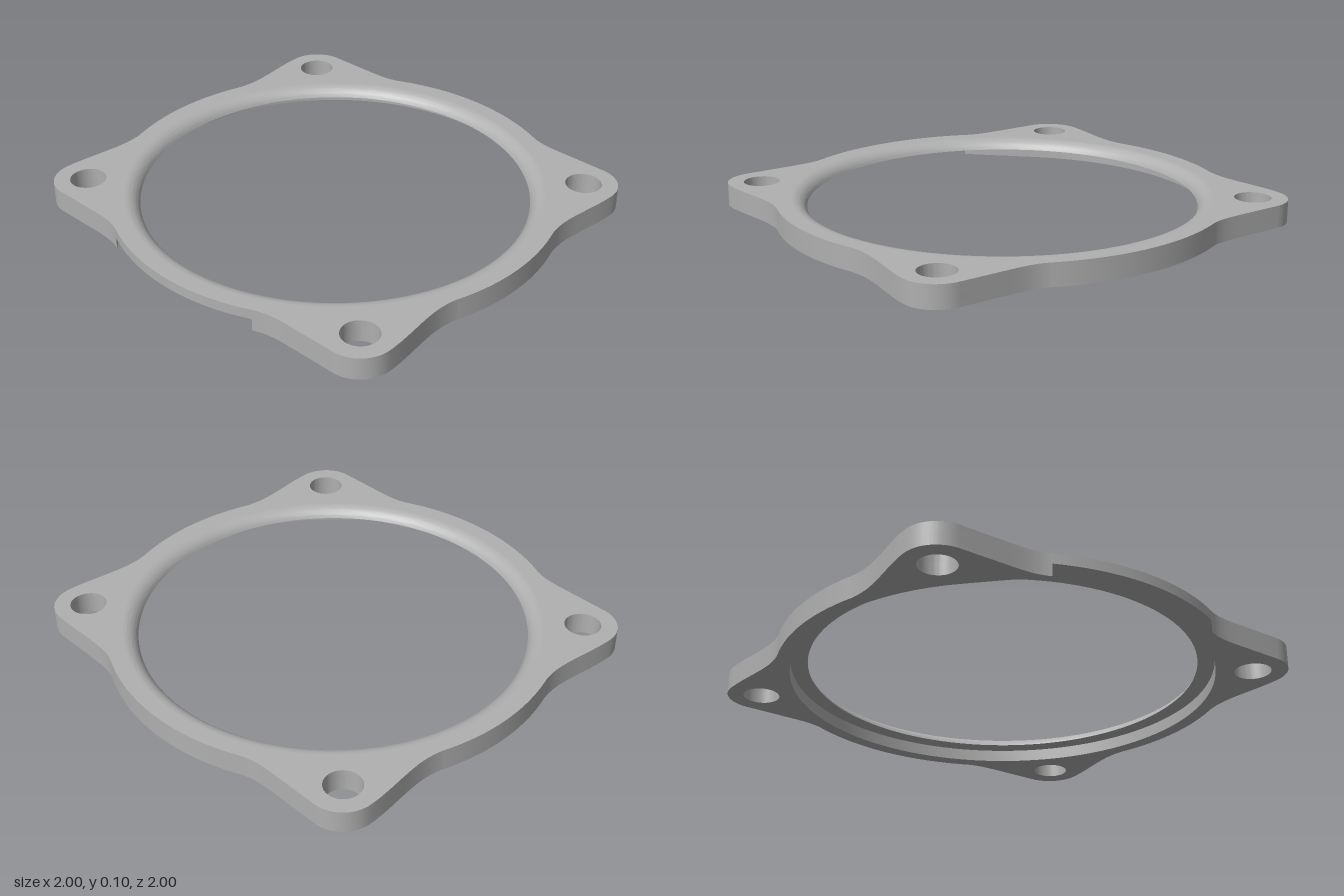
import * as THREE from 'three';
import { toCreasedNormals } from 'three/addons/utils/BufferGeometryUtils.js';

const TOP = 0.1, STEP = 0.055, RECESS = 0.935, BORE = 0.86;
const LIP = 0.07; // rounding radius of the bore's upper edge

// One quarter of the rim, from the notch corner round the lug to the side.
function lugQuarter() {
  const p = new THREE.Path();
  p.moveTo(0.41, 0.912);
  p.bezierCurveTo(0.46, 0.89, 0.5, 0.885, 0.6, 0.885);
  p.lineTo(0.815, 0.885);
  p.absarc(0.815, 0.735, 0.15, Math.PI / 2, 0, true);
  p.bezierCurveTo(0.965, 0.63, 0.937, 0.52, 0.936, 0.42);
  p.quadraticCurveTo(0.936, 0.365, 0.949, 0.315);
  p.absarc(0, 0, 1, Math.atan2(0.315, 0.949), 0, true);
  return p.getPoints(20);
}

function arc(r, from, to, n) {
  return Array.from({ length: n + 1 }, (_, i) => {
    const a = from + (to - from) * i / n;
    return new THREE.Vector2(r * Math.cos(a), r * Math.sin(a));
  });
}

const mirror = (pts, sx, sy) => pts.map(p => new THREE.Vector2(p.x * sx, p.y * sy)).reverse();

function clean(pts) {
  return pts.filter((p, i) => p.distanceTo(pts[(i + 1) % pts.length]) > 1e-5);
}

// Extrude a plan (x, z) downward from the given height, with the four bolt holes.
function plate(points, top, depth, bore) {
  const shape = new THREE.Shape(clean(points));
  for (const sx of [-1, 1]) for (const sz of [-1, 1])
    shape.holes.push(new THREE.Path().absarc(0.815 * sx, 0.733 * sz, 0.08, 0, Math.PI * 2));
  if (bore) shape.holes.push(new THREE.Path(arc(bore, 0, Math.PI * 2, 128).slice(0, -1)));
  const g = new THREE.ExtrudeGeometry(shape, { depth, bevelEnabled: false, curveSegments: 32 });
  g.rotateX(Math.PI / 2).translate(0, top, 0);
  return toCreasedNormals(g, 0.5);
}

export function createModel() {
  const group = new THREE.Group();
  const grey = new THREE.MeshStandardMaterial({ color: 0xb0b0b0 });
  grey.name = 'grey';
  const add = (name, geometry) => {
    const m = new THREE.Mesh(geometry, grey);
    m.name = name;
    group.add(m);
  };

  // Rim from the front right notch corner round the back to the front left one
  const quarter = lugQuarter();
  const right = [...quarter, ...mirror(quarter, 1, -1)];
  const c = Math.atan2(0.912, 0.41);
  const back = arc(1, -c, c - Math.PI, 24);
  const rim = [...right, ...back, ...mirror(right, -1, 1)];

  // Upper layer: full outline
  const start = Math.asin((STEP - (TOP - LIP)) / LIP);
  const lipCentre = BORE + LIP * Math.cos(start);
  add('upperPlate', plate([...rim, ...arc(1, Math.PI - c, c, 24)], TOP, TOP - STEP, lipCentre));

  // Lower layer: teardrop recess that opens through the front edge
  const recess = arc(RECESS, Math.PI * 0.75, Math.PI * 2.25, 96);
  add('lowerPlate', plate([...rim, ...recess], STEP, STEP, 0));

  // Rounded lip of the bore with its flat underside
  const profile = [new THREE.Vector2(lipCentre, STEP)];
  for (let i = 0; i <= 12; i++) {
    const a = start + (Math.PI / 2 - start) * i / 12;
    profile.push(new THREE.Vector2(lipCentre - LIP * Math.cos(a), TOP - LIP + LIP * Math.sin(a)));
  }
  // The profile is reversed so that its faces look outward from the solid
  const lip = new THREE.LatheGeometry(profile.reverse(), 128);
  add('boreLip', toCreasedNormals(lip, 0.5));
  return group;
}
